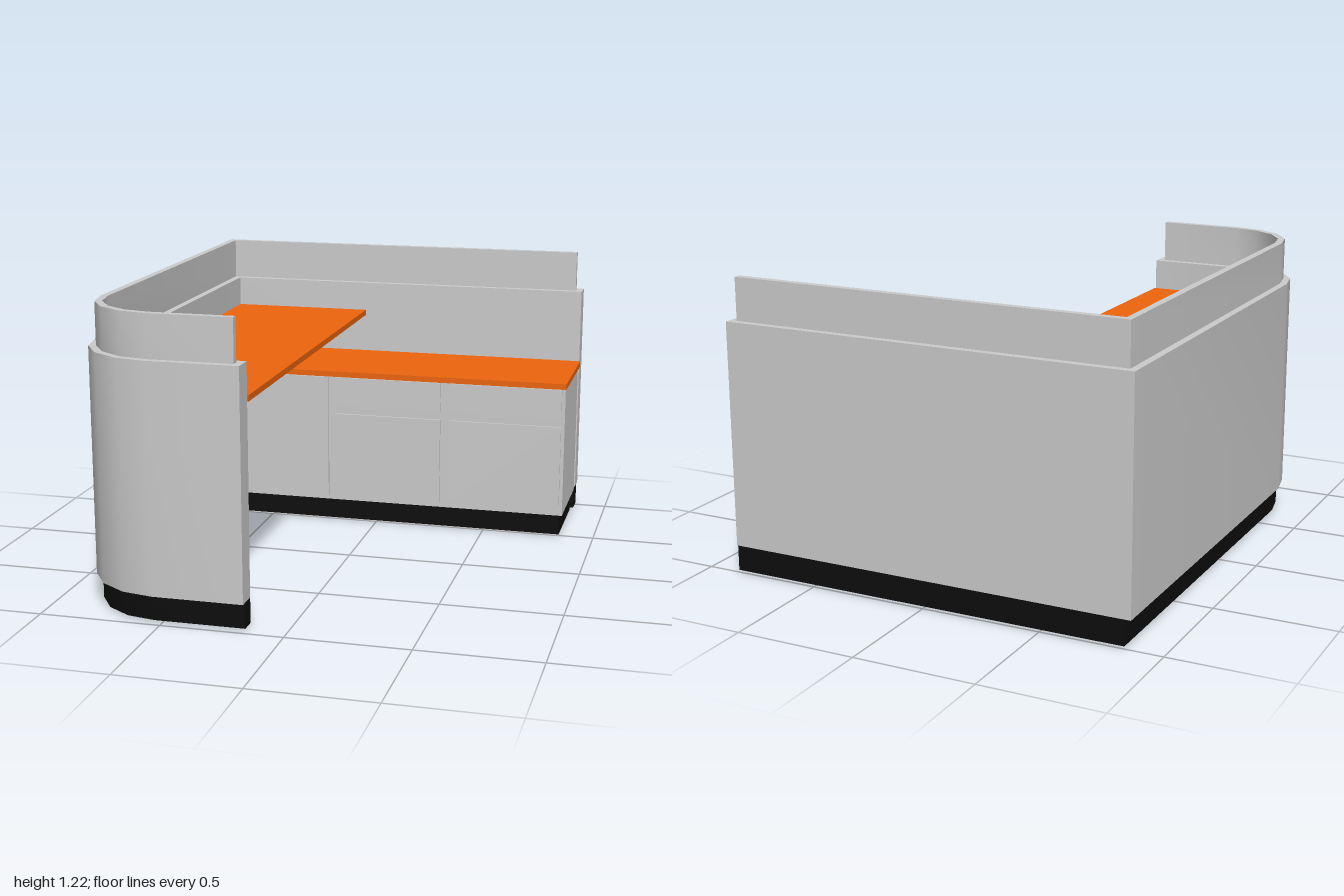
import * as THREE from 'three';
import { toCreasedNormals } from 'three/addons/utils/BufferGeometryUtils.js';

const grey = new THREE.MeshStandardMaterial({ color: 0xcccccc });
const orange = new THREE.MeshStandardMaterial({ color: 0xee650e });
const black = new THREE.MeshStandardMaterial({ color: 0x0d0d0d });

// Rounded front-left corner of the outline, inset from the outer face
function cornerPoints(inset) {
  const points = [];
  for (let i = 0; i <= 4; i++) {
    const a = (i / 4) * Math.PI / 2;
    const r = 0.34 - inset;
    points.push([-0.53 - r * Math.cos(a), 0.66 + r * Math.sin(a)]);
  }
  return points;
}

// Extrude a floor outline of [x, z] points upward from y0 to y1
function slab(name, points, y0, y1, material) {
  const shape = new THREE.Shape(points.map(([x, z]) => new THREE.Vector2(x, -z)));
  let geometry = new THREE.ExtrudeGeometry(shape, { depth: y1 - y0, bevelEnabled: false });
  geometry.rotateX(-Math.PI / 2);
  geometry.translate(0, y0, 0);
  geometry = toCreasedNormals(geometry, 0.5);
  const mesh = new THREE.Mesh(geometry, material);
  mesh.name = name;
  return mesh;
}

// Wall strip following the U-shaped outline between two insets
function strip(name, outer, inner, backZ, backEnd, frontEnd, y0, y1, material) {
  const points = [
    [backEnd, backZ],
    [-0.87 + outer, backZ],
    ...cornerPoints(outer),
    [frontEnd, 1 - outer],
    [frontEnd, 1 - inner],
    ...cornerPoints(inner).reverse(),
    [-0.87 + inner, -1 + inner],
    [backEnd, -1 + inner],
  ];
  return slab(name, points, y0, y1, material);
}

// Box given by its extents
function box(name, x0, x1, y0, y1, z0, z1, material) {
  const mesh = new THREE.Mesh(new THREE.BoxGeometry(x1 - x0, y1 - y0, z1 - z0), material);
  mesh.position.set((x0 + x1) / 2, (y0 + y1) / 2, (z0 + z1) / 2);
  mesh.name = name;
  return mesh;
}

export function createModel() {
  const group = new THREE.Group();
  group.name = 'receptionCounter';

  // Outer counter wall with plinth and raised screen
  group.add(strip('wallPlinth', 0.025, 0.09, -1, 0.86, -0.16, 0.01, 0.115, black));
  group.add(strip('counterWall', 0, 0.09, -1, 0.865, -0.16, 0.115, 1.045, grey));
  group.add(strip('raisedScreen', 0.03, 0.06, -0.97, 0.835, -0.19, 1.045, 1.22, grey));

  // High desk top with its rounded corner tucked into the wall
  group.add(slab('highDeskTop', [
    [-0.155, -0.91], [-0.78, -0.91], ...cornerPoints(0.09), [-0.155, 0.91],
  ], 0.89, 0.915, orange));

  // Low cabinet against the back wall
  const cabinet = new THREE.Group();
  cabinet.name = 'cabinet';
  cabinet.add(box('cabinetBody', -0.78, 0.86, 0.1, 0.695, -0.91, -0.478, grey));
  cabinet.add(box('cabinetPlinth', -0.765, 0.845, 0.005, 0.1, -0.89, -0.5, black));
  cabinet.add(box('cabinetBase', -0.765, 0.845, 0, 0.005, -0.89, -0.5, grey));
  cabinet.add(box('cabinetTop', -0.785, 0.87, 0.695, 0.72, -0.91, -0.415, orange));

  // Plain panel, then two bays of a drawer above a door
  cabinet.add(box('sidePanel', -0.765, -0.22, 0.12, 0.68, -0.478, -0.468, grey));
  for (const [x0, x1] of [[-0.19, 0.3], [0.34, 0.845]]) {
    cabinet.add(box('door', x0, x1, 0.12, 0.51, -0.478, -0.468, grey));
    cabinet.add(box('drawer', x0, x1, 0.55, 0.68, -0.478, -0.468, grey));
  }
  group.add(cabinet);

  return group;
}
